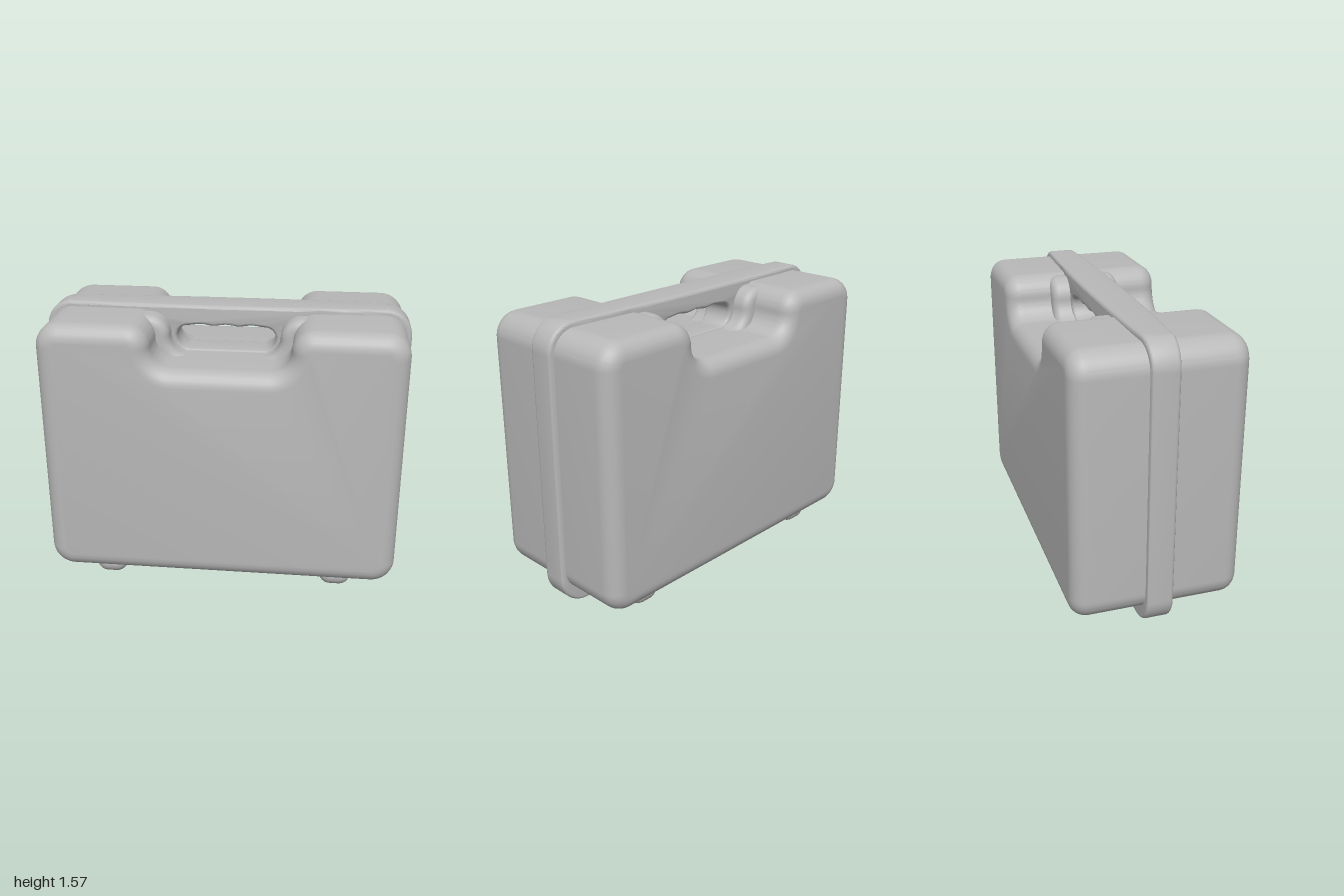
import * as THREE from 'three';
import { toCreasedNormals } from 'three/addons/utils/BufferGeometryUtils.js';
import { RoundedBoxGeometry } from 'three/addons/geometries/RoundedBoxGeometry.js';

const PI = Math.PI;

// Rounded rectangle with an S-curved handle recess in its top edge
function notchedOutline(halfX, bottom, top, radius, notchHalf, floor) {
  const s = new THREE.Shape();
  const r = (top - floor) / 2;
  s.moveTo(-halfX + radius, bottom);
  s.absarc(halfX - radius, bottom + radius, radius, -PI / 2, 0, false);
  s.absarc(halfX - radius, top - radius, radius, 0, PI / 2, false);
  s.absarc(notchHalf + r, top - r, r, PI / 2, PI, false);
  s.absarc(notchHalf - r, floor + r, r, 0, -PI / 2, true);
  s.absarc(-notchHalf + r, floor + r, r, -PI / 2, -PI, true);
  s.absarc(-notchHalf - r, top - r, r, 0, PI / 2, false);
  s.absarc(-halfX + radius, top - radius, radius, PI / 2, PI, false);
  s.absarc(-halfX + radius, bottom + radius, radius, PI, PI * 1.5, false);
  return s;
}

// Extrusion centred on z = 0 whose bevel stays inside the outline
function slab(shape, halfZ, bevel, segments) {
  const g = new THREE.ExtrudeGeometry(shape, {
    depth: 2 * (halfZ - bevel), bevelEnabled: true, bevelSize: bevel,
    bevelThickness: bevel, bevelOffset: -bevel, bevelSegments: segments, curveSegments: 10,
  });
  g.translate(0, 0, -(halfZ - bevel));
  return g;
}

// Central flange with the hand opening
function rimShape() {
  const s = new THREE.Shape();
  const w = 1, top = 1.57, rb = 0.17, rt = 0.15;
  s.moveTo(-w + rb, 0);
  s.absarc(w - rb, rb, rb, -PI / 2, 0, false);
  s.absarc(w - rt, top - rt, rt, 0, PI / 2, false);
  for (let x = 0.75; x > -0.8; x -= 0.125) s.lineTo(x, top);
  s.absarc(-w + rt, top - rt, rt, PI / 2, PI, false);
  s.absarc(-w + rb, rb, rb, PI, PI * 1.5, false);

  const hole = new THREE.Path();
  const hx = 0.27, lo = 1.32, hi = 1.455, r = 0.06, rl = 0.075;
  hole.moveTo(-hx + rl, lo);
  hole.absarc(hx - rl, lo + rl, rl, -PI / 2, 0, false);
  hole.absarc(hx - r, hi - r, r, 0, PI / 2, false);
  // Gentle finger grooves under the grip
  for (let i = 1; i < 24; i++) {
    const t = i / 24;
    hole.lineTo((hx - r) * (1 - 2 * t), hi + 0.004 * (1 - Math.cos(t * PI * 6)));
  }
  hole.absarc(-hx + r, hi - r, r, PI / 2, PI, false);
  hole.absarc(-hx + rl, lo + rl, rl, PI, PI * 1.5, false);
  s.holes.push(hole);
  return s;
}

export function createModel() {
  const group = new THREE.Group();
  group.name = 'carryCase';
  const plastic = new THREE.MeshStandardMaterial({ color: 0xb8b8b8 });
  plastic.name = 'greyPlastic';

  const add = (name, geometry, crease = 0.7) => {
    const mesh = new THREE.Mesh(crease ? toCreasedNormals(geometry, crease) : geometry, plastic);
    mesh.name = name;
    group.add(mesh);
    return mesh;
  };

  // Main shell and the narrower step beside the handle
  add('caseShell', slab(notchedOutline(0.975, 0.09, 1.54, 0.13, 0.37, 1.31), 0.455, 0.09, 6));
  add('handleShoulders', slab(notchedOutline(0.93, 0.12, 1.53, 0.13, 0.3, 1.308), 0.2, 0.05, 5));

  // Flange, swelling into a thicker grip at the top middle
  const rim = slab(rimShape(), 0.073, 0.018, 4);
  const p = rim.attributes.position;
  for (let i = 0; i < p.count; i++) {
    const x = p.getX(i);
    const rise = THREE.MathUtils.smoothstep(p.getY(i), 1.15, 1.42);
    p.setZ(i, p.getZ(i) * (1 + 0.4 * rise * Math.max(0, 1 - x * x)));
  }
  add('rimAndHandle', rim);

  // Sloping underside between the feet
  const ramp = new THREE.Shape([
    [0.33, 0.13], [-0.33, 0.13], [-0.33, 0.1], [-0.06, 0.015], [0.06, 0.015], [0.33, 0.1],
  ].map(([a, b]) => new THREE.Vector2(a, b)));
  const rampGeometry = new THREE.ExtrudeGeometry(ramp, { depth: 1.2, bevelEnabled: false });
  rampGeometry.translate(0, 0, -0.6).rotateY(PI / 2);
  add('undersideRamp', rampGeometry, 0.2);

  // Feet running front to back
  for (const side of [1, -1]) {
    const foot = add(side > 0 ? 'leftFoot' : 'rightFoot',
      new RoundedBoxGeometry(0.18, 0.2, 0.73, 5, 0.065), 0);
    foot.position.set(side * 0.65, 0.103, 0);
  }
  return group;
}
